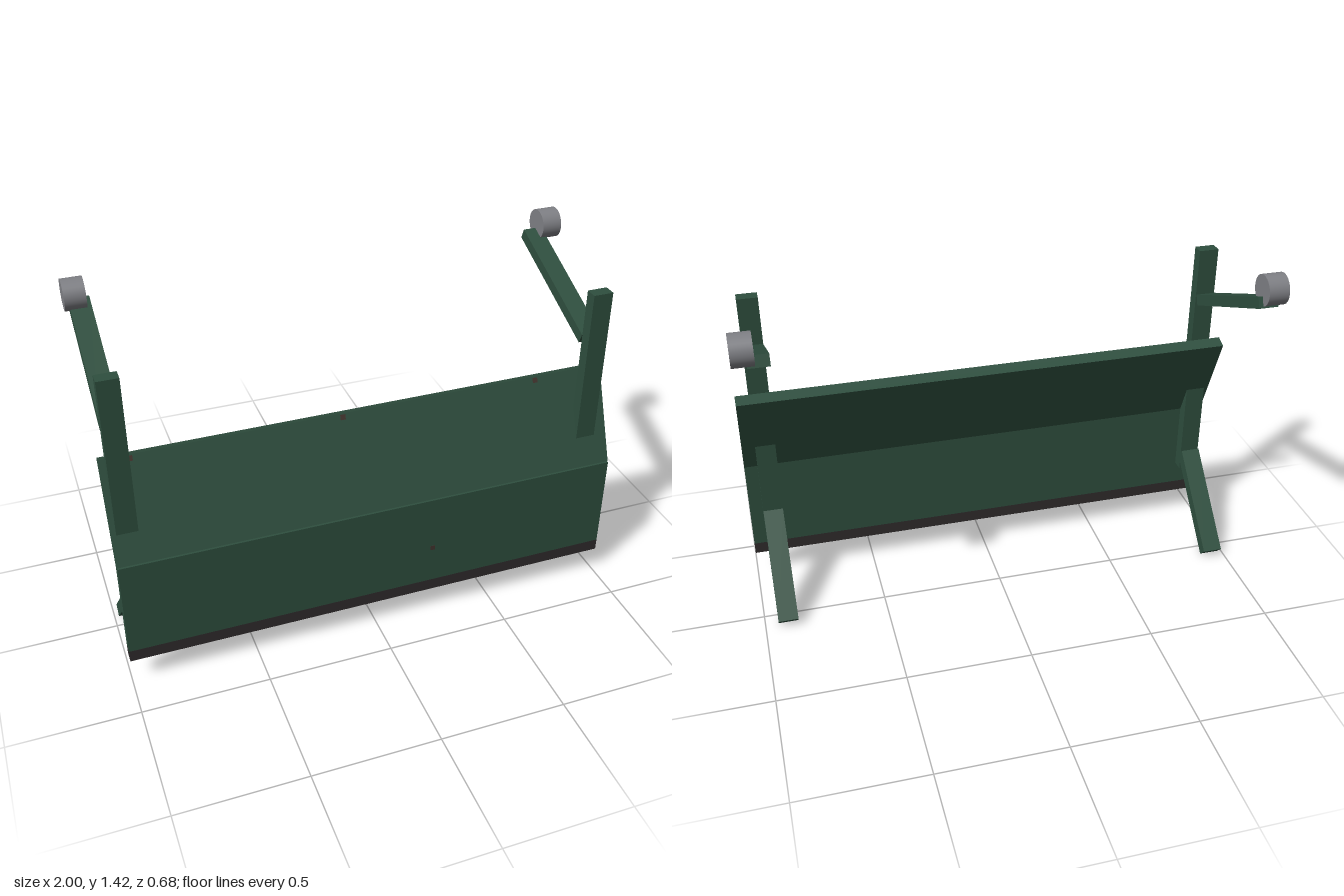
import * as THREE from 'three';

export function createModel() {
  const group = new THREE.Group();
  const material = (name, color) => {
    const m = new THREE.MeshStandardMaterial({ color });
    m.name = name;
    return m;
  };
  const green = material('dark green paint', 0x2f4f3f);
  const rubber = material('black rubber', 0x302c2d);
  const grey = material('grey metal', 0x808186);
  const rust = material('rust', 0x43342e);

  function add(name, geometry, mat, x, y, z, parent = group) {
    const mesh = new THREE.Mesh(geometry, mat);
    mesh.name = name;
    mesh.position.set(x, y, z);
    parent.add(mesh);
    return mesh;
  }

  // Beam between two (z, y) points in the side plane
  function beam(name, x, width, thickness, [z0, y0], [z1, y1]) {
    const length = Math.hypot(z1 - z0, y1 - y0);
    const mesh = add(name, new THREE.BoxGeometry(width, length, thickness), green,
      x, (y0 + y1) / 2, (z0 + z1) / 2);
    mesh.rotation.x = Math.atan2(z1 - z0, y1 - y0);
    return mesh;
  }

  // Blade: upright lower panel, rubber edge and tilted upper panel
  const lower = add('lowerPanel', new THREE.BoxGeometry(2, 0.399, 0.049), green, 0, 0.3615, 0.3165);
  add('rubberEdge', new THREE.BoxGeometry(2, 0.049, 0.049), rubber, 0, 0.1375, 0.3165);
  const upper = beam('upperPanel', 0, 2, 0.049, [0.3145, 0.556], [0.1635, 0.928]);

  // Small rust spots on the panel faces
  const spot = new THREE.BoxGeometry(0.02, 0.02, 0.002);
  for (const x of [-0.89, -0.09, 0.71]) add('rustSpot', spot, rust, x, 0.186, 0.0248, upper);
  add('rustSpot', spot, rust, 0.235, -0.035, 0.0248, lower);

  // Side frames: post, raised arm with roller, rear strut
  const frames = [
    { x: -0.943, roller: -0.961 },
    { x: 0.907, roller: 0.959 },
  ];
  const rollerGeometry = new THREE.CylinderGeometry(0.06, 0.06, 0.08, 32).rotateZ(Math.PI / 2);
  for (const { x, roller } of frames) {
    beam('post', x, 0.08, 0.049, [0.2675, 0.263], [0.2675, 1.31]);
    beam('upperArm', x, 0.078, 0.044, [0.231, 1.099], [-0.295, 1.321]);
    beam('rearStrut', x, 0.08, 0.05, [0.252, 0.342], [-0.073, 0.017]);
    add('roller', rollerGeometry, grey, roller, 1.362, -0.278);
  }
  return group;
}
